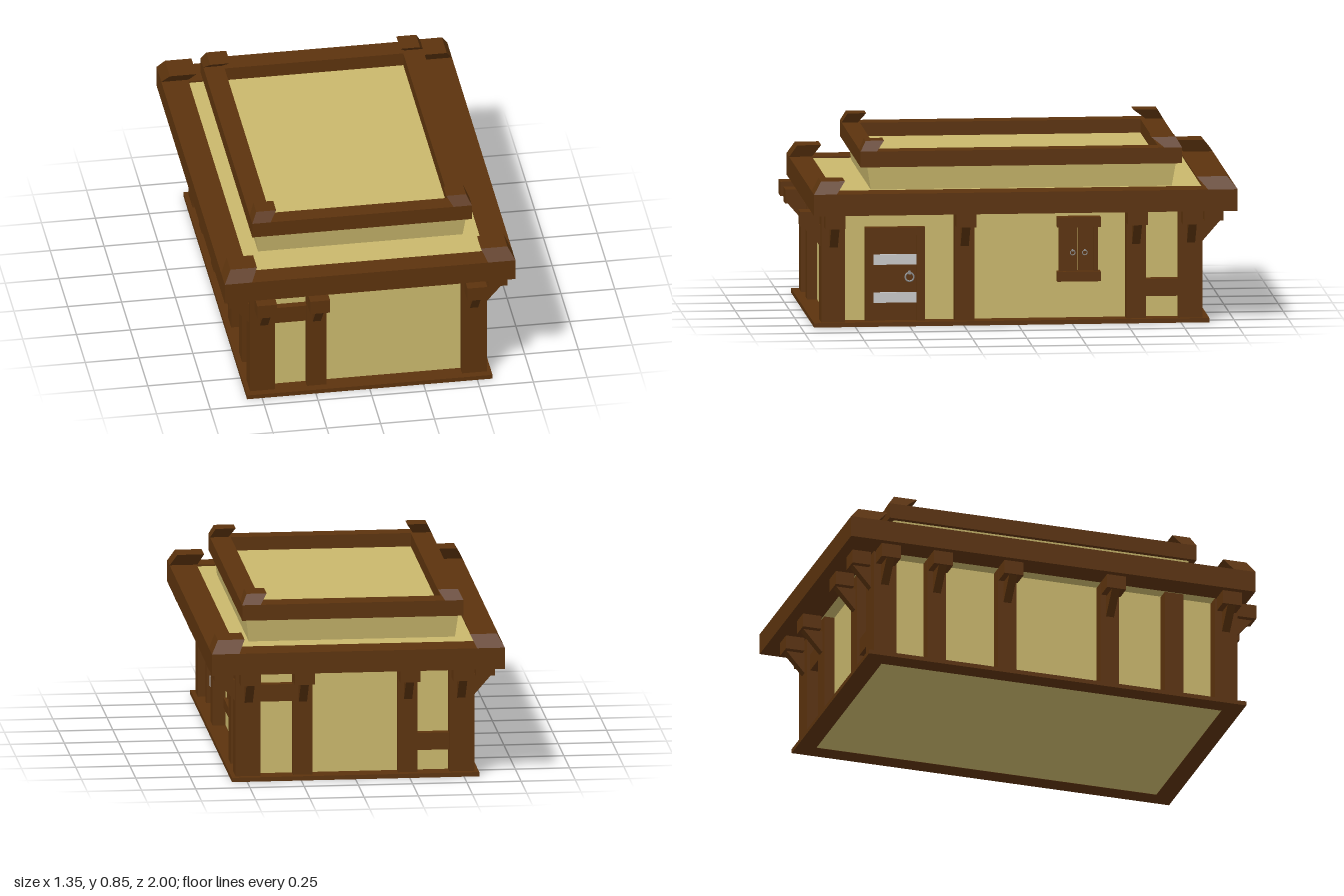
import * as THREE from 'three';

const mat = (name, color) => {
  const m = new THREE.MeshStandardMaterial({ color });
  m.name = name;
  return m;
};

export function createModel() {
  const model = new THREE.Group();
  model.name = 'timberHouse';
  const wood = mat('timber', 0x5c330d);
  const plaster = mat('plaster', 0xc9b76c);
  const metal = mat('metal', 0xc8c8c8);
  const iron = mat('iron', 0x8f8f8f);

  const add = (name, geo, material, parent = model) => {
    const mesh = new THREE.Mesh(geo, material);
    mesh.name = name;
    parent.add(mesh);
    return mesh;
  };
  // Box given by its limits
  const box = (name, material, x0, x1, y0, y1, z0, z1, parent = model) =>
    add(name, new THREE.BoxGeometry(x1 - x0, y1 - y0, z1 - z0)
      .translate((x0 + x1) / 2, (y0 + y1) / 2, (z0 + z1) / 2), material, parent);

  // Six-sided block whose bottom and top rectangles [x0, x1, z0, z1] differ
  const taper = (name, material, y0, y1, bottom, top) => {
    const geo = new THREE.BoxGeometry(1, 1, 1);
    const p = geo.attributes.position;
    for (let i = 0; i < p.count; i++) {
      const r = p.getY(i) > 0 ? top : bottom;
      p.setXYZ(i, p.getX(i) > 0 ? r[1] : r[0], p.getY(i) > 0 ? y1 : y0, p.getZ(i) > 0 ? r[3] : r[2]);
    }
    geo.computeVertexNormals();
    return add(name, geo, material);
  };

  // Flat rectangular frame with an opening
  const rect = (C, [x0, x1, z0, z1]) => {
    const s = new C();
    s.moveTo(x0, -z1).lineTo(x1, -z1).lineTo(x1, -z0).lineTo(x0, -z0).closePath();
    return s;
  };
  const ring = (name, y0, y1, outer, inner) => {
    const s = rect(THREE.Shape, outer);
    s.holes.push(rect(THREE.Path, inner));
    const geo = new THREE.ExtrudeGeometry(s, { depth: y1 - y0, bevelEnabled: false });
    return add(name, geo.rotateX(-Math.PI / 2).translate(0, y0, 0), wood);
  };

  // Base, walls and roof decks
  ring('baseFrame', 0, 0.02, [-0.57, 0.57, -0.88, 0.94], [-0.48, 0.48, -0.79, 0.85]);
  box('walls', plaster, -0.485, 0.485, 0.001, 0.535, -0.795, 0.855);
  ring('eavesFrame', 0.53, 0.63, [-0.675, 0.675, -1, 0.95], [-0.55, 0.55, -0.85, 0.845]);
  box('lowerDeck', plaster, -0.55, 0.55, 0.532, 0.622, -0.85, 0.845);
  taper('upperWalls', plaster, 0.62, 0.74, [-0.475, 0.475, -0.715, 0.67], [-0.49, 0.49, -0.735, 0.69]);
  ring('upperFrame', 0.73, 0.803, [-0.51, 0.51, -0.76, 0.72], [-0.415, 0.415, -0.655, 0.637]);

  // Leaning corner caps on both frames
  for (const s of [-1, 1]) {
    const sx = (a, b) => (s > 0 ? [a, b] : [-b, -a]);
    taper('eavesCapFront', wood, 0.63, 0.687, [...sx(0.548, 0.675), 0.845, 0.95], [...sx(0.52, 0.643), 0.805, 0.915]);
    taper('eavesCapBack', wood, 0.63, 0.687, [...sx(0.548, 0.675), -1, -0.865], [...sx(0.52, 0.643), -0.955, -0.815]);
    taper('upperCapFront', wood, 0.803, 0.85, [...sx(0.425, 0.51), 0.645, 0.72], [...sx(0.395, 0.487), 0.61, 0.695]);
    taper('upperCapBack', wood, 0.803, 0.85, [...sx(0.425, 0.51), -0.76, -0.68], [...sx(0.395, 0.487), -0.732, -0.62]);
    // Corner posts
    box('cornerPostFront', wood, ...sx(0.435, 0.55), 0.02, 0.53, 0.795, 0.905);
    box('cornerPostBack', wood, ...sx(0.435, 0.55), 0.02, 0.53, -0.85, -0.74);
  }

  // Bracket: hanging block with a triangular strut, pointing to local +z
  const strutShape = new THREE.Shape();
  strutShape.moveTo(-0.03, 0.365).lineTo(0, 0.365).lineTo(0.088, 0.466).lineTo(-0.03, 0.466).closePath();
  const strutGeo = new THREE.ExtrudeGeometry(strutShape, { depth: 0.038, bevelEnabled: false })
    .translate(0, 0, -0.019).rotateY(-Math.PI / 2);
  const bracket = (x, z, turn) => {
    const g = new THREE.Group();
    g.name = 'eavesBracket';
    box('bracketBlock', wood, -0.046, 0.046, 0.465, 0.531, 0.01, 0.098, g);
    add('bracketStrut', strutGeo, wood, g);
    g.position.set(x, 0, z);
    g.rotation.y = turn;
    model.add(g);
  };
  for (const x of [-0.486, -0.24, 0.49]) bracket(x, 0.903, 0);
  for (const x of [-0.49, -0.245, 0.24, 0.49]) bracket(x, -0.85, Math.PI);
  for (const z of [0.848, 0.245, -0.545, -0.797]) bracket(0.548, z, Math.PI / 2);
  for (const z of [0.848, 0.29, -0.205, -0.545, -0.797]) bracket(-0.548, z, -Math.PI / 2);

  // Wall studs
  box('frontStud', wood, -0.285, -0.195, 0.02, 0.53, 0.84, 0.9);
  for (const x of [-0.245, 0.24]) box('backStud', wood, x - 0.045, x + 0.045, 0.02, 0.53, -0.845, -0.78);
  for (const z of [0.245, -0.545]) box('rightStud', wood, 0.47, 0.545, 0.02, 0.53, z - 0.045, z + 0.045);
  for (const z of [0.6, 0.29, -0.205, -0.545]) box('leftStud', wood, -0.545, -0.47, 0.02, 0.53, z - 0.045, z + 0.045);

  // Short rails between posts and studs
  box('frontRail', wood, -0.44, -0.28, 0.365, 0.445, 0.84, 0.89);
  box('backUpperRail', wood, 0.28, 0.44, 0.365, 0.445, -0.835, -0.78);
  box('backLowerRail', wood, -0.44, -0.285, 0.12, 0.2, -0.835, -0.78);
  box('sideRail', wood, 0.47, 0.535, 0.12, 0.2, -0.745, -0.585);

  // Pull ring on a small plate, facing +x
  const pull = (x, y, z, r) => {
    add('pullRing', new THREE.TorusGeometry(r, r * 0.2, 6, 12).rotateY(Math.PI / 2).translate(x + 0.006, y, z), iron);
    add('pullKnob', new THREE.CylinderGeometry(r * 0.45, r * 0.45, 0.012, 6)
      .rotateZ(Math.PI / 2).translate(x + 0.006, y + r, z), iron);
  };

  // Door
  box('doorLeaf', wood, 0.47, 0.503, 0.02, 0.42, 0.46, 0.665);
  for (const z of [0.425, 0.662]) box('doorJamb', wood, 0.47, 0.525, 0.02, 0.415, z, z + 0.038);
  box('doorLintel', wood, 0.47, 0.525, 0.415, 0.452, 0.425, 0.7);
  for (const y of [0.102, 0.278]) box('doorBand', metal, 0.502, 0.51, y, y + 0.048, 0.464, 0.661);
  pull(0.503, 0.22, 0.495, 0.02);

  // Window with two shutters
  box('windowLintel', wood, 0.47, 0.535, 0.443, 0.49, -0.383, -0.183);
  box('windowSill', wood, 0.47, 0.535, 0.192, 0.238, -0.383, -0.183);
  for (const z of [-0.372, -0.21]) box('windowJamb', wood, 0.47, 0.52, 0.238, 0.443, z, z + 0.018);
  for (const z of [-0.354, -0.28]) {
    box('shutter', wood, 0.47, 0.508, 0.238, 0.443, z + 0.002, z + 0.07);
    pull(0.508, 0.323, z === -0.28 ? -0.256 : -0.312, 0.011);
  }
  return model;
}
